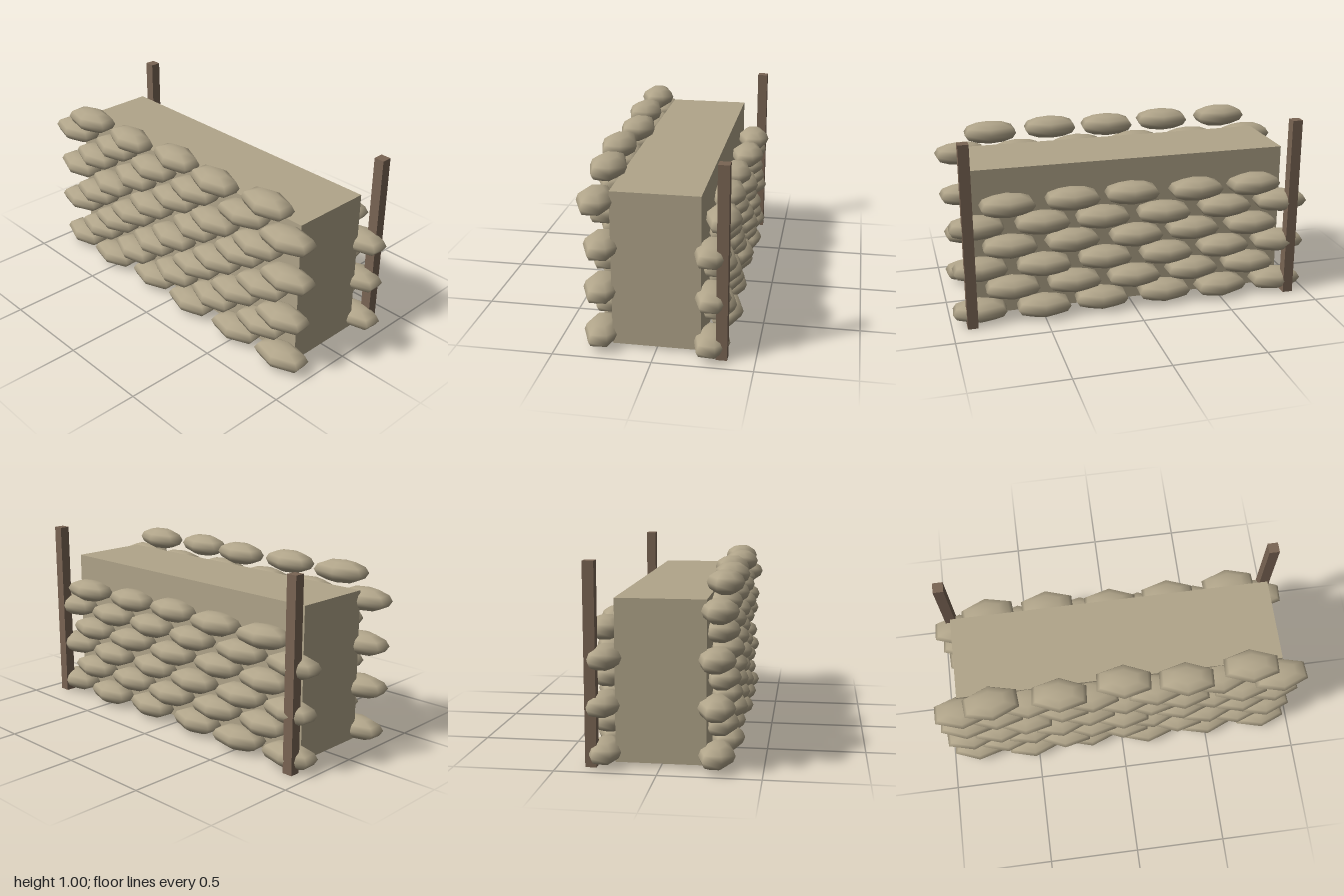
import * as THREE from 'three';

export function createModel() {
  const model = new THREE.Group();
  const sand = new THREE.MeshStandardMaterial({ color: 0xb1a58a });
  sand.name = 'sandCloth';
  const wood = new THREE.MeshStandardMaterial({ color: 0x7a6554 });
  wood.name = 'darkWood';

  function addBox(name, material, size, position) {
    const mesh = new THREE.Mesh(new THREE.BoxGeometry(...size), material);
    mesh.name = name;
    mesh.position.set(...position);
    model.add(mesh);
  }

  // Solid fill between the two bag walls
  addBox('wallCore', sand, [1.73, 0.81, 0.446], [0, 0.42, 0]);

  // Upright posts behind the wall
  for (const side of [-1, 1]) {
    addBox(side < 0 ? 'rightPost' : 'leftPost', wood, [0.056, 1.005, 0.056], [side * 0.893, 0.5025, -0.334]);
  }

  // One low-poly bag with corners pointing to front and back
  const bagShape = new THREE.SphereGeometry(1, 6, 6);
  bagShape.rotateY(Math.PI / 2);
  bagShape.scale(0.164, 0.061, 0.094);

  function addBag(parent, x, y, z, turn) {
    const bag = new THREE.Mesh(bagShape, sand);
    bag.name = 'sandbag';
    bag.position.set(x, y, z);
    bag.rotation.y = turn;
    parent.add(bag);
  }

  // Small repeatable variation
  let seed = 17;
  const vary = (amount) => {
    seed = (seed * 16807) % 2147483647;
    return (seed / 2147483647 - 0.5) * 2 * amount;
  };

  // Front wall: alternating rows of six and five bags
  const frontRows = [
    [-0.845, -0.525, -0.185, 0.15, 0.5, 0.825],
    [-0.67, -0.33, 0.01, 0.325, 0.67],
    [-0.855, -0.51, -0.175, 0.17, 0.49, 0.82],
    [-0.685, -0.345, 0.005, 0.335, 0.67],
    [-0.855, -0.53, -0.185, 0.16, 0.5, 0.835],
    [-0.68, -0.325, 0.01, 0.33, 0.645],
    [-0.85, -0.5, -0.165, 0.175, 0.525, 0.845],
    [-0.685, -0.33, 0.01, 0.335, 0.68],
  ];
  const topDepths = [0.295, 0.297, 0.267, 0.295, 0.268];
  const frontWall = new THREE.Group();
  frontWall.name = 'frontBagWall';
  frontRows.forEach((row, r) => {
    row.forEach((x, i) => {
      const z = r === 7 ? topDepths[i] : 0.283 + vary(0.013);
      addBag(frontWall, x, 0.064 + r * 0.1175, z, vary(0.1));
    });
  });
  model.add(frontWall);

  // Back wall: six rows, lower than the front
  const backDepths = [-0.303, -0.305, -0.275, -0.285, -0.305];
  const backWall = new THREE.Group();
  backWall.name = 'backBagWall';
  for (let r = 0; r < 6; r++) {
    const count = r % 2 ? 5 : 6;
    for (let i = 0; i < count; i++) {
      const x = (i - (count - 1) / 2) * 0.337 + vary(0.012);
      let z = -0.287 + vary(0.013);
      if (r === 5) z = backDepths[i];
      else if (count === 6 && i === 5) z = -0.275;
      addBag(backWall, x, 0.064 + r * 0.1175, z, vary(0.1));
    }
  }
  model.add(backWall);

  return model;
}
